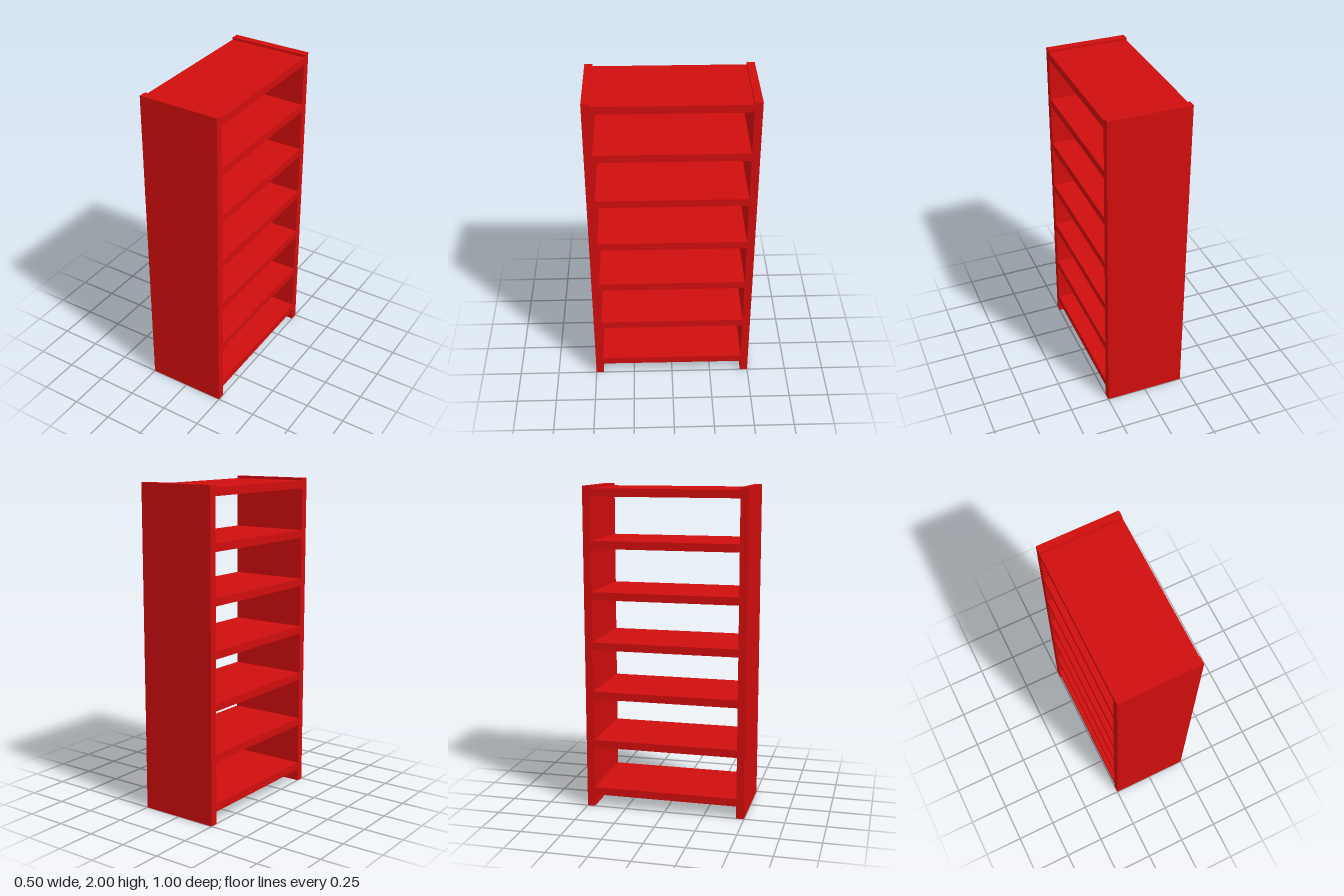
import * as THREE from 'three';

export function createModel() {
  const model = new THREE.Group();
  model.name = 'bookcase';
  const paint = new THREE.MeshStandardMaterial({ color: 0xd00d0d });

  const height = 2, length = 1, depth = 0.5, board = 0.048;

  const addBoard = (name, h, l, y, z) => {
    const mesh = new THREE.Mesh(new THREE.BoxGeometry(depth, h, l), paint);
    mesh.name = name;
    mesh.position.set(0, y, z);
    model.add(mesh);
  };

  // Upright panels at both ends
  addBoard('frontPanel', height, board, height / 2, (length - board) / 2);
  addBoard('backPanel', height, board, height / 2, -(length - board) / 2);

  // Evenly spaced shelves between the panels
  const shelves = 7, firstShelf = 0.101, spacing = 0.31;
  for (let i = 0; i < shelves; i++) {
    addBoard(`shelf${i + 1}`, board, length - 2 * board, firstShelf + i * spacing, 0);
  }

  return model;
}
